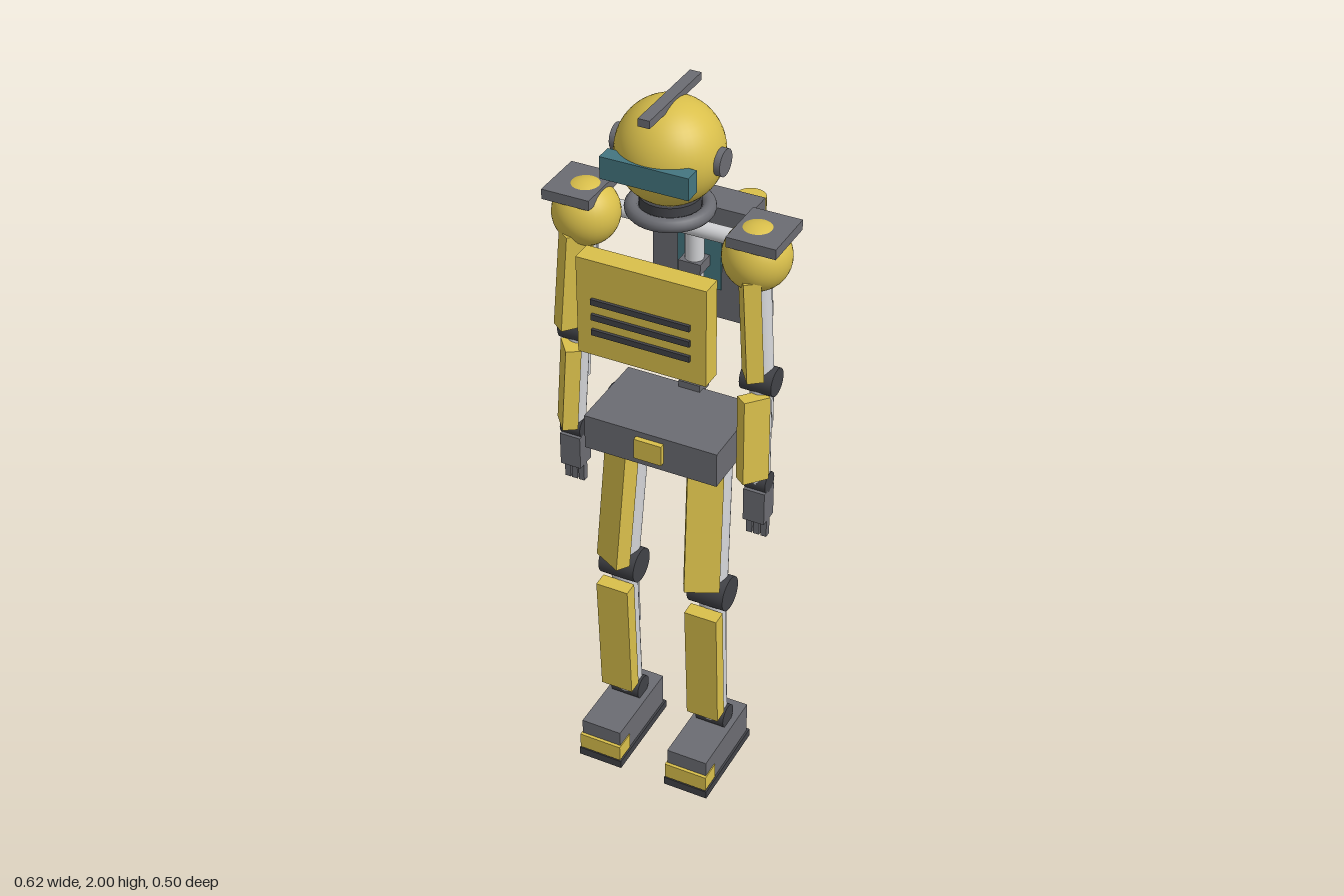
import * as THREE from 'three';

const mat = (name, color) => {
  const m = new THREE.MeshStandardMaterial({ color });
  m.name = name;
  return m;
};
const UP = new THREE.Vector3(0, 1, 0);
const V = (x, y, z) => new THREE.Vector3(x, y, z);

export function createModel() {
  const yellow = mat('yellow armour', 0xd9bf4b);
  const grey = mat('mid grey', 0x6b6c72);
  const dark = mat('dark joint', 0x414247);
  const light = mat('light metal', 0xd2d3d6);
  const teal = mat('teal glass', 0x447680);

  const root = new THREE.Group();
  root.name = 'robot';

  const add = (parent, name, geo, material, x, y, z) => {
    const m = new THREE.Mesh(geo, material);
    m.name = name;
    m.position.set(x, y, z);
    parent.add(m);
    return m;
  };
  // box given by its limits on each axis
  const box = (parent, name, material, x0, x1, y0, y1, z0, z1) =>
    add(parent, name, new THREE.BoxGeometry(x1 - x0, y1 - y0, z1 - z0), material,
      (x0 + x1) / 2, (y0 + y1) / 2, (z0 + z1) / 2);
  const cyl = (parent, name, material, r, h, x, y, z) =>
    add(parent, name, new THREE.CylinderGeometry(r, r, h, 28), material, x, y, z);
  const cylX = (parent, name, material, r, w, x, y, z) => {
    const m = cyl(parent, name, material, r, w, x, y, z);
    m.rotation.z = Math.PI / 2;
    return m;
  };
  const group = (name) => {
    const g = new THREE.Group();
    g.name = name;
    root.add(g);
    return g;
  };

  // Limb segment: strut, front armour plate and a two-stage piston behind
  const limb = (parent, name, a, b, r, w, d, offset) => {
    const dir = b.clone().sub(a);
    const len = dir.length();
    dir.normalize();
    const place = (part, geo, material, t, dz) => {
      const p = a.clone().lerp(b, t);
      add(parent, name + part, geo, material, p.x, p.y, p.z + dz)
        .quaternion.setFromUnitVectors(UP, dir);
    };
    place('Strut', new THREE.CylinderGeometry(r, r, len, 24), light, 0.5, 0);
    place('Armour', new THREE.BoxGeometry(w, len * 0.8, d), yellow, 0.5, offset);
    place('PistonSleeve', new THREE.CylinderGeometry(0.018, 0.018, len * 0.42, 16), light, 0.33, -r - 0.006);
    place('PistonRod', new THREE.CylinderGeometry(0.011, 0.011, len * 0.4, 16), light, 0.7, -r - 0.004);
  };

  // Head
  const head = group('head');
  add(head, 'skull', new THREE.SphereGeometry(0.132, 40, 28), yellow, 0, 1.86, 0.065);
  box(head, 'crest', grey, -0.015, 0.015, 1.98, 2, -0.067, 0.196);
  box(head, 'visor', teal, -0.114, 0.114, 1.822, 1.88, 0.157, 0.2);
  cylX(head, 'earDiscs', grey, 0.034, 0.286, 0, 1.86, 0.065);

  // Neck
  const neck = group('neck');
  cyl(neck, 'neckCore', dark, 0.075, 0.065, 0, 1.712, 0.065);
  add(neck, 'collarRing', new THREE.TorusGeometry(0.092, 0.018, 14, 40), grey, 0, 1.71, 0.065)
    .rotation.x = Math.PI / 2;

  // Torso
  const torso = group('torso');
  cyl(torso, 'spine', light, 0.024, 0.645, 0, 1.407, -0.064);
  for (const y of [1.12, 1.24, 1.36, 1.48, 1.6, 1.7])
    box(torso, 'vertebra', grey, -0.03, 0.03, y - 0.015, y + 0.015, -0.088, -0.035);
  cylX(torso, 'shoulderBar', light, 0.021, 0.42, 0, 1.623, 0);
  box(torso, 'chestPlate', yellow, -0.172, 0.172, 1.34, 1.608, 0.165, 0.222);
  for (const y of [1.41, 1.453, 1.496])
    box(torso, 'chestVent', dark, -0.131, 0.131, y - 0.008, y + 0.008, 0.222, 0.23);

  // Backpack
  const pack = group('backpack');
  box(pack, 'packBody', grey, -0.13, 0.13, 1.315, 1.63, -0.19, -0.094);
  box(pack, 'packPanel', teal, -0.06, 0.06, 1.4, 1.55, -0.094, -0.09);
  for (const s of [-1, 1]) cyl(pack, 'tank', yellow, 0.039, 0.275, s * 0.081, 1.473, -0.212);

  // Pelvis
  const pelvis = group('pelvis');
  box(pelvis, 'pelvisBlock', grey, -0.184, 0.184, 1.018, 1.116, -0.055, 0.183);
  box(pelvis, 'buckle', yellow, -0.038, 0.038, 1.042, 1.1, 0.183, 0.197);

  for (const s of [-1, 1]) {
    const side = s > 0 ? 'left' : 'right';

    // Arm
    const arm = group(side + 'Arm');
    const shoulder = V(s * 0.227, 1.635, 0.065);
    const elbow = V(s * 0.25, 1.3, 0.077);
    const wrist = V(s * 0.26, 1.01, 0.098);
    add(arm, 'shoulderBall', new THREE.SphereGeometry(0.085, 32, 22), yellow, ...shoulder.toArray());
    box(arm, 'shoulderPlate', grey, s * 0.243 - 0.064, s * 0.243 + 0.064, 1.685, 1.712, -0.011, 0.139);
    limb(arm, 'upperArm', shoulder, elbow, 0.032, 0.075, 0.042, 0.045);
    cylX(arm, 'elbow', dark, 0.037, 0.085, ...elbow.toArray());
    limb(arm, 'forearm', elbow, wrist, 0.028, 0.07, 0.04, 0.04);
    cylX(arm, 'wrist', dark, 0.028, 0.058, ...wrist.toArray());
    box(arm, 'palm', grey, s * 0.26 - 0.029, s * 0.26 + 0.029, 0.895, 0.99, 0.071, 0.127);
    for (const i of [-1, 0, 1]) {
      const x = s * 0.26 + i * 0.02;
      box(arm, 'finger', grey, x - 0.008, x + 0.008, 0.843, 0.895, 0.09, 0.108);
    }

    // Leg
    const leg = group(side + 'Leg');
    const hip = V(s * 0.116, 1.06, 0.033);
    const knee = V(s * 0.13, 0.6, 0.088);
    const ankle = V(s * 0.13, 0.145, 0.068);
    cylX(leg, 'hip', dark, 0.046, 0.12, s * 0.134, 1.06, 0.02);
    limb(leg, 'thigh', hip, knee, 0.04, 0.092, 0.042, 0.068);
    cylX(leg, 'knee', dark, 0.048, 0.103, ...knee.toArray());
    limb(leg, 'shin', knee, ankle, 0.035, 0.092, 0.04, 0.054);
    cylX(leg, 'ankle', dark, 0.033, 0.083, ...ankle.toArray());
    const fx = s * 0.13;
    box(leg, 'foot', grey, fx - 0.058, fx + 0.058, 0.022, 0.12, -0.02, 0.238);
    box(leg, 'sole', dark, fx - 0.064, fx + 0.064, 0, 0.024, -0.027, 0.247);
    box(leg, 'toeCap', yellow, fx - 0.061, fx + 0.061, 0.028, 0.075, 0.187, 0.247);
  }
  return root;
}
